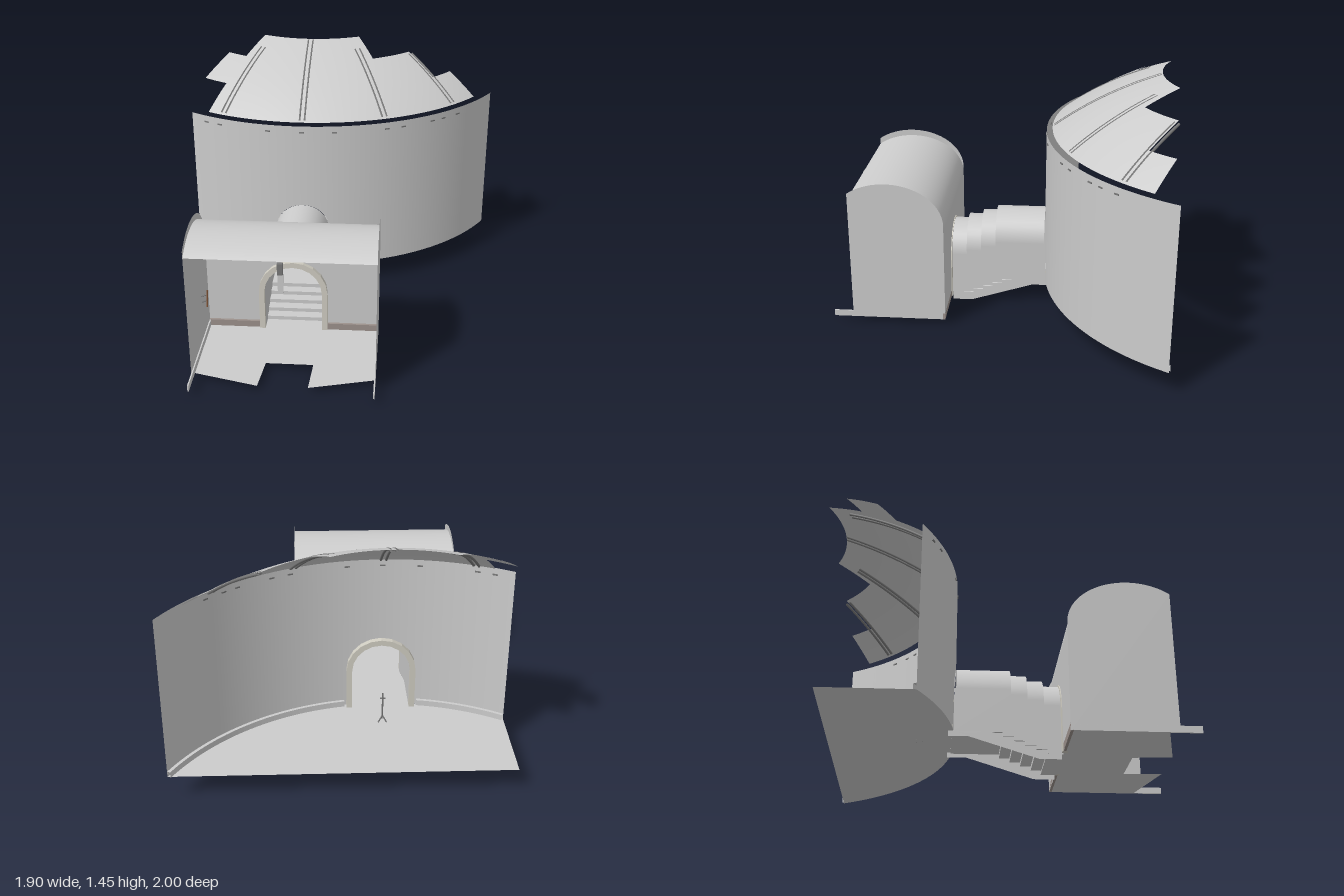
import * as THREE from 'three';
import { ParametricGeometry } from 'three/addons/geometries/ParametricGeometry.js';

const CX = -0.24, CZ = -1.61, R = 1.36;      // axis and radius of the round hall
const FLOOR = 0.15, TOP = 1.1, LOW = 0.035;  // hall floor, wall top, porch floor
const DOOR = 0.17, SPRING = 0.4;             // door half width and arch spring height
const rad = THREE.MathUtils.degToRad;

const mat = (color = 0xcccccc) => new THREE.MeshStandardMaterial({ color, side: THREE.DoubleSide });
const grey = mat(), trim = mat(0xd0cdc2), board = mat(0x9c918c), dark = mat(0x777777), brown = mat(0x8a5a3a);

export function createModel() {
  const model = new THREE.Group();
  const add = (name, geo, m = grey, parent = model) => {
    const mesh = new THREE.Mesh(geo, m);
    mesh.name = name;
    parent.add(mesh);
    return mesh;
  };
  const box = (name, x0, x1, y0, y1, z0, z1, m) =>
    add(name, new THREE.BoxGeometry(x1 - x0, y1 - y0, z1 - z0), m)
      .position.set((x0 + x1) / 2, (y0 + y1) / 2, (z0 + z1) / 2);
  const surface = (name, fn, nu, nv, m) => add(name, new ParametricGeometry(fn, nu, nv), m);
  const shapeOf = pts => new THREE.Shape(pts.map(p => new THREE.Vector2(...p)));
  const polar = (a, r, y, t = new THREE.Vector3()) => t.set(CX + r * Math.sin(a), y, CZ + r * Math.cos(a));
  const rod = (name, a, b, r, m, parent) =>
    add(name, new THREE.TubeGeometry(new THREE.LineCurve3(new THREE.Vector3(...a), new THREE.Vector3(...b)), 1, r, 6), m, parent);

  // Points of a doorway outline, from bottom left over the arch to bottom right
  const arch = (r, spring, bottom, n = 12) => {
    const pts = [[CX - r, bottom]];
    for (let i = 0; i <= n; i++) {
      const a = Math.PI * (1 - i / n);
      pts.push([CX + r * Math.cos(a), spring + r * Math.sin(a)]);
    }
    return [...pts, [CX + r, bottom]];
  };

  // Round hall wall: plain on both sides of the door, cut by the arch over it
  const aL = -rad(31.5), aR = rad(61), aD = Math.asin(DOOR / R);
  const wall = (name, a0, a1, low, n) => surface(name, (u, v, t) => {
    const a = a0 + (a1 - a0) * u, y0 = low(a);
    polar(a, R, y0 + (TOP - y0) * v, t);
  }, n, 4);
  wall('hallWallRight', aL, -aD, () => FLOOR, 20);
  wall('hallWallLeft', aD, aR, () => FLOOR, 40);
  wall('hallWallOverDoor', -aD, aD,
    a => SPRING + Math.sqrt(Math.max(0, DOOR ** 2 - (R * Math.sin(a)) ** 2)), 24);

  // Hall floor: a segment with a straight back
  const floorPts = [[-0.95, -0.95]];
  for (let i = 0; i <= 48; i++) {
    const p = polar(aL + (aR - aL) * i / 48, R, 0);
    floorPts.push([p.x, p.z]);
  }
  add('hallFloor', new THREE.ShapeGeometry(shapeOf(floorPts)).rotateX(Math.PI / 2)).position.y = FLOOR;

  // Low curb along the inside of the wall
  for (const [a0, a1] of [[aL, -0.16], [0.16, aR]]) {
    const steps = [[R - 0.001, 0.035], [R - 0.02, 0.035], [R - 0.02, 0]];
    surface('hallCurb', (u, v, t) => {
      const k = Math.min(2, Math.round(v * 2));
      polar(a0 + (a1 - a0) * u, steps[k][0], FLOOR + steps[k][1], t);
    }, 30, 2);
  }

  // Broken dome: three rings of different extent on one sphere
  const domeY = r => Math.sqrt(4.761 - r * r) - 0.622;
  for (const [r0, r1, d0, d1] of [[0.684, 0.905, -27, 27], [0.905, 1.13, -36, 45], [1.13, 1.325, -27, 54]])
    surface('domeRing', (u, v, t) => {
      const r = r1 + (r0 - r1) * v;
      polar(rad(d0 + (d1 - d0) * u), r, domeY(r), t);
    }, 36, 8);

  // Paired ribs just under the dome, with small brackets on the wall
  for (const [deg, end] of [[-22.5, 0.8], [0, 0.69], [22.5, 0.8], [45, 0.92]])
    for (const side of [-1, 1]) {
      const pts = [];
      for (let i = 0; i <= 10; i++) {
        const r = 1.31 + (end - 1.31) * i / 10;
        pts.push(polar(rad(deg) + side * 0.015 / r, r, domeY(r) - 0.006));
      }
      add('domeRib', new THREE.TubeGeometry(new THREE.CatmullRomCurve3(pts), 20, 0.008, 6), dark);
    }
  for (const x of [-0.85, -0.76, -0.45, -0.24, -0.04, 0.28, 0.38, 0.56, 0.63, 0.72]) {
    const a = Math.asin((x - CX) / R);
    const b = add('wallBracket', new THREE.BoxGeometry(0.03, 0.008, 0.01), dark);
    polar(a, R, 1.06, b.position);
    b.rotation.y = a;
  }

  // Passage: stepped barrel vault over two side walls
  const vaults = [[0.32, 0.23, 0.31], [0.23, 0.14, 0.34], [0.14, 0.05, 0.37], [0.05, -0.25, SPRING]];
  vaults.forEach(([z0, z1, s], i) => {
    surface('passageVault', (u, v, t) =>
      t.set(CX + DOOR * Math.cos(Math.PI * u), s + DOOR * Math.sin(Math.PI * u), z0 + (z1 - z0) * v), 16, 1);
    if (i) surface('passageVaultStep', (u, v, t) =>
      t.set(CX + DOOR * Math.cos(Math.PI * u), s - 0.03 * v + DOOR * Math.sin(Math.PI * u), z0), 16, 1);
  });
  const sidePts = [[0.32, 0], [0.2, 0], [-0.18, 0.12], [-0.29, 0.12], [-0.29, FLOOR], [-0.26, FLOOR], [-0.26, SPRING]];
  for (const [z0, z1, s] of [...vaults].reverse()) sidePts.push([z1 < -0.2 ? -0.255 : z1, s], [z0, s]);
  for (const s of [-1, 1])
    add('passageSideWall', new THREE.ShapeGeometry(shapeOf(sidePts)).rotateY(-Math.PI / 2)).position.x = CX + s * DOOR;

  // Stairs: thin treads and risers, then a landing
  box('passageFloor', CX - DOOR, CX + DOOR, 0.027, LOW, 0.24, 0.33);
  for (let i = 0; i < 5; i++) {
    const y = LOW + 0.023 * (i + 1), z = 0.25 - 0.06 * i;
    box('stairRiser', CX - 0.18, CX + 0.18, y - 0.03, y, z - 0.006, z);
    box('stairTread', CX - 0.18, CX + 0.18, y - 0.007, y, z - 0.06, z);
  }
  box('stairLanding', CX - DOOR, CX + DOOR, 0.142, FLOOR, -0.27, -0.05);

  // Door frames at both ends of the passage
  const frame = (name, spring, bottom, z, depth) => {
    const pts = [...arch(0.203, spring, bottom, 10), ...arch(DOOR, spring, bottom, 10).reverse()];
    add(name, new THREE.ExtrudeGeometry(shapeOf(pts), { depth, bevelEnabled: false }), trim).position.z = z;
  };
  frame('porchDoorFrame', 0.285, LOW, 0.32, 0.03);
  frame('hallDoorFrame', SPRING, FLOOR, -0.3, 0.035);

  // Porch: back wall with door, curved roof, flat end walls rising over the roof
  const X0 = -0.75, X1 = 0.267, ZB = 0.325, ZF = 0.885, ZC = 0.66;
  add('porchBackWall', new THREE.ShapeGeometry(shapeOf(
    [[X0, LOW], ...arch(DOOR, 0.3, LOW), [X1, LOW], [X1, 0.61], [X0, 0.61]]))).position.z = ZB;
  const aEnd = Math.acos((ZF - ZC) / (ZC - ZB));
  const curve = (u, base) => {
    const a = Math.PI + (aEnd - Math.PI) * u;
    return [ZC + (ZC - ZB) * Math.cos(a), base + 0.25 * Math.sin(a)];
  };
  surface('porchRoof', (u, v, t) => {
    const [z, y] = curve(u, 0.61);
    t.set(X0 + (X1 - X0) * v, y, z);
  }, 28, 1);
  const endPts = [[ZF, LOW], [ZB, LOW]];
  for (let i = 0; i <= 28; i++) endPts.push(curve(i / 28, 0.648));
  for (const [x, inner] of [[X0, 1], [X1, -1]]) {
    add('porchEndWall', new THREE.ShapeGeometry(shapeOf(endPts)).rotateY(-Math.PI / 2)).position.x = x;
    const xi = x + inner * 0.008;
    box('porchCurb', Math.min(x, xi), Math.max(x, xi), LOW, 0.072, ZB, 1);
  }
  box('porchBaseboard', X0, CX - 0.203, LOW, 0.075, ZB, 0.34, board);
  box('porchBaseboard', CX + 0.203, X1, LOW, 0.075, ZB, 0.34, board);

  // Broken porch floor with a notch at the front
  add('porchFloor', new THREE.ShapeGeometry(shapeOf([[X0, ZB], [X0, 0.83], [-0.38, 0.925], [-0.36, 0.71],
    [-0.09, 0.71], [-0.1, 0.925], [X1, 0.83], [X1, ZB]])).rotateX(Math.PI / 2)).position.y = LOW;

  // Hanging strip at the roof edge
  box('hangingBracket', CX - 0.015, CX + 0.015, 0.72, 0.785, 0.875, 0.895, dark);
  box('hangingStrip', CX - 0.015, CX + 0.015, 0.6, 0.72, 0.87, 0.88);

  // Wall torch inside the porch
  const torch = new THREE.Group();
  torch.name = 'wallTorch';
  model.add(torch);
  rod('torchStick', [-0.72, 0.27, 0.51], [-0.715, 0.38, 0.51], 0.005, brown, torch);
  rod('torchArm', [-0.75, 0.3, 0.51], [-0.718, 0.315, 0.51], 0.004, dark, torch);
  rod('torchBrace', [-0.75, 0.34, 0.51], [-0.718, 0.35, 0.51], 0.004, dark, torch);

  // Tripod stand in the hall
  const stand = new THREE.Group();
  stand.name = 'tripodStand';
  stand.position.set(CX, FLOOR, -0.45);
  model.add(stand);
  rod('standPole', [0, 0.03, 0], [0, 0.19, 0], 0.005, dark, stand);
  rod('standCrossbar', [-0.015, 0.155, 0], [0.015, 0.155, 0], 0.004, dark, stand);
  for (let i = 0; i < 3; i++) {
    const a = i * Math.PI * 2 / 3;
    rod('standLeg', [0, 0.04, 0], [0.028 * Math.sin(a), 0, 0.028 * Math.cos(a)], 0.004, dark, stand);
  }
  return model;
}
